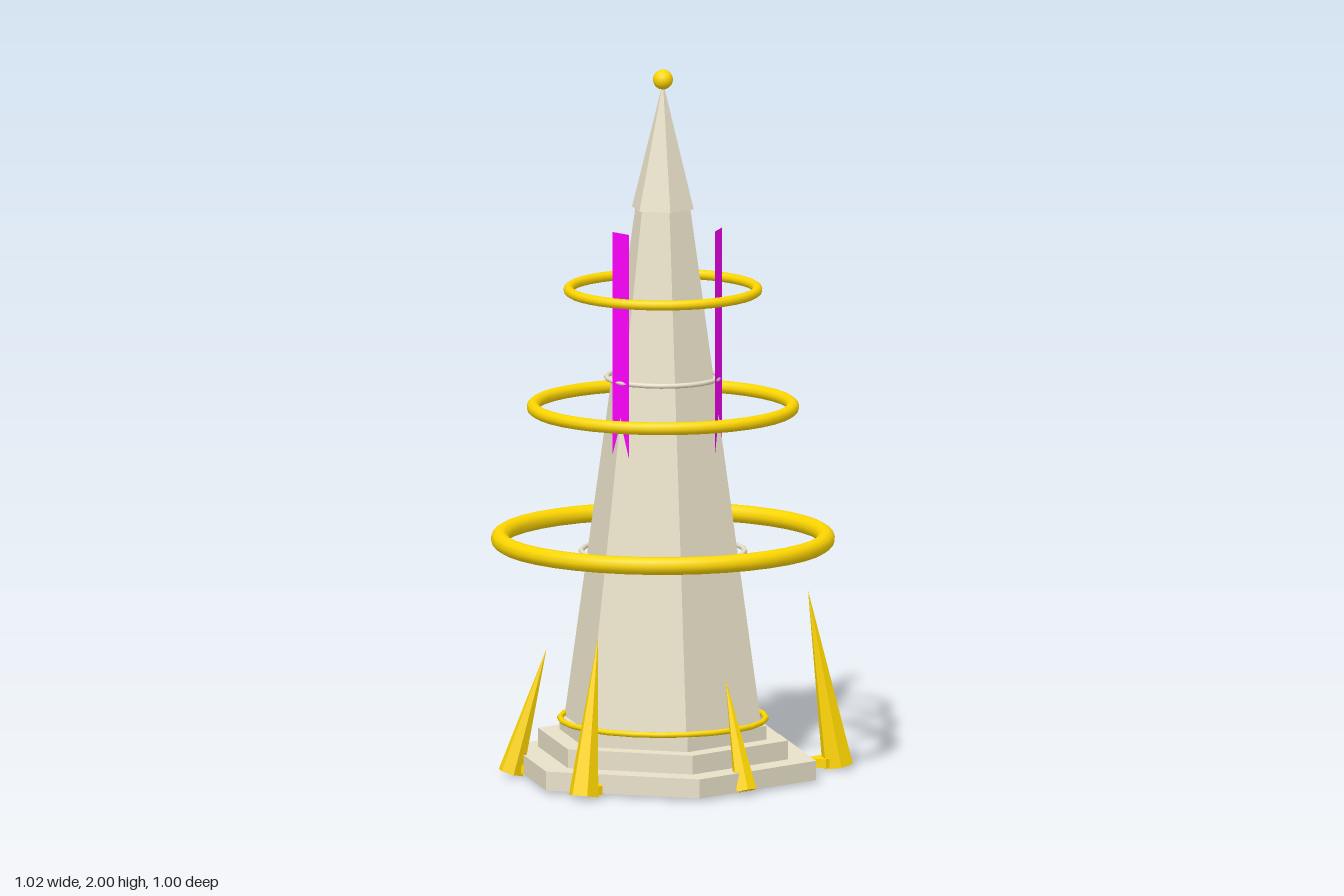
import * as THREE from 'three';

const stone = new THREE.MeshStandardMaterial({ color: 0xe8e0c8, flatShading: true });
const trim = new THREE.MeshStandardMaterial({ color: 0xe8e0c8 });
const gold = new THREE.MeshStandardMaterial({ color: 0xffd700 });
const goldFlat = new THREE.MeshStandardMaterial({ color: 0xffd700, flatShading: true });
const cloth = new THREE.MeshStandardMaterial({ color: 0xff00ff, side: THREE.DoubleSide });

function add(parent, name, geometry, material, x = 0, y = 0, z = 0) {
  const mesh = new THREE.Mesh(geometry, material);
  mesh.name = name;
  mesh.position.set(x, y, z);
  parent.add(mesh);
  return mesh;
}

// Six-sided tapered block standing between two heights
function hexBlock(parent, name, rBottom, rTop, y0, y1) {
  const geo = new THREE.CylinderGeometry(rTop, rBottom, y1 - y0, 6);
  return add(parent, name, geo, stone, 0, (y0 + y1) / 2, 0);
}

function ring(parent, name, radius, tube, y, material, segments) {
  const geo = new THREE.TorusGeometry(radius, tube, 10, segments).rotateX(Math.PI / 2);
  return add(parent, name, geo, material, 0, y, 0);
}

// Leaning crystal from base centre to tip, with a small upright foot under its middle
function spike(parent, base, tip, radius) {
  const group = new THREE.Group();
  group.name = 'crystalSpike';
  const a = new THREE.Vector3(...base);
  const b = new THREE.Vector3(...tip);
  const mid = a.clone().add(b).multiplyScalar(0.5);
  const dir = b.clone().sub(a);
  const cone = add(group, 'crystal', new THREE.ConeGeometry(radius, dir.length(), 6), goldFlat, mid.x, mid.y, mid.z);
  cone.quaternion.setFromUnitVectors(new THREE.Vector3(0, 1, 0), dir.normalize());
  add(group, 'crystalFoot', new THREE.CylinderGeometry(radius * 0.8, radius * 0.8, 0.025, 6), goldFlat, mid.x, 0.024, mid.z);
  parent.add(group);
}

export function createModel() {
  const model = new THREE.Group();
  model.name = 'spireTower';

  const tower = new THREE.Group();
  tower.name = 'tower';
  tower.position.set(-0.034, 0, 0.023);
  model.add(tower);

  // Stepped plinth
  hexBlock(tower, 'lowerStep', 0.447, 0.447, 0.01, 0.064);
  hexBlock(tower, 'middleStep', 0.364, 0.364, 0.064, 0.117);
  hexBlock(tower, 'upperStep', 0.302, 0.302, 0.117, 0.156);

  // Tapered shaft, roof and finial
  hexBlock(tower, 'shaft', 0.287, 0.08, 0.156, 1.61);
  hexBlock(tower, 'roof', 0.09, 0, 1.608, 1.965);
  add(tower, 'finial', new THREE.SphereGeometry(0.028, 20, 14), gold, 0, 1.972, 0);

  // Bands hugging the shaft
  ring(tower, 'baseBand', 0.288, 0.008, 0.164, gold, 24);
  ring(tower, 'lowerBand', 0.229, 0.007, 0.637, trim, 24);
  ring(tower, 'upperBand', 0.158, 0.007, 1.13, trim, 24);

  // Floating hoops
  ring(tower, 'lowerHoop', 0.456, 0.025, 0.672, gold, 40);
  ring(tower, 'middleHoop', 0.363, 0.018, 1.045, gold, 40);
  ring(tower, 'upperHoop', 0.264, 0.014, 1.377, gold, 40);

  // Three swallow-tailed banners
  const outline = [[-0.034, 1.555], [-0.034, 0.92], [0, 1.02], [0.034, 0.92], [0.034, 1.555]];
  const bannerShape = new THREE.Shape(outline.map(([x, y]) => new THREE.Vector2(x, y)));
  for (const angle of [Math.PI / 3, Math.PI, -Math.PI / 3]) {
    const geo = new THREE.ShapeGeometry(bannerShape).translate(0, 0, 0.162);
    add(tower, 'banner', geo, cloth).rotation.y = angle;
  }

  // Ring of crystals leaning inward: base centre, tip, radius
  const spikes = [
    [[0.463, 0.012, 0.04], [0.379, 0.51, 0.036], 0.045],
    [[0.165, 0.012, -0.345], [0.124, 0.425, -0.27], 0.041],
    [[-0.198, 0.012, -0.468], [-0.168, 0.26, -0.392], 0.031],
    [[-0.452, 0.012, -0.055], [-0.354, 0.362, -0.036], 0.036],
    [[-0.342, 0.012, 0.366], [-0.287, 0.45, 0.307], 0.043],
    [[0.117, 0.012, 0.387], [0.08, 0.315, 0.302], 0.033],
  ];
  for (const [base, tip, radius] of spikes) spike(model, base, tip, radius);

  return model;
}
